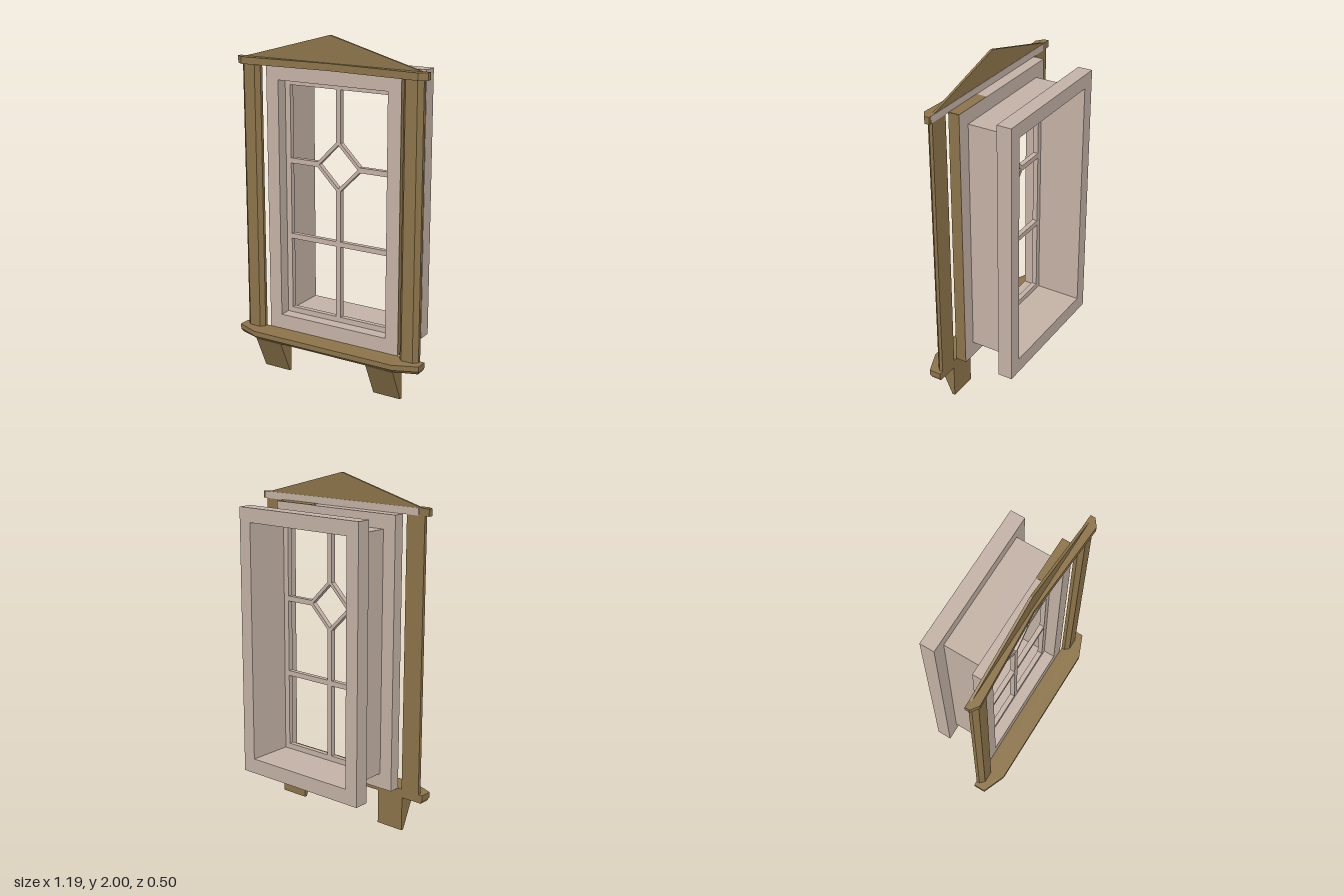
import * as THREE from 'three';

export function createModel() {
  const model = new THREE.Group();
  model.name = 'window';
  const cream = new THREE.MeshStandardMaterial({ color: 0xc4b2a6 });
  cream.name = 'pale frame';
  const creamOpen = new THREE.MeshStandardMaterial({ color: 0xc4b2a6, side: THREE.DoubleSide });
  creamOpen.name = 'pale lining';
  const wood = new THREE.MeshStandardMaterial({ color: 0x8c744a });
  wood.name = 'brown wood';

  const add = (name, geometry, material) => {
    const mesh = new THREE.Mesh(geometry, material);
    mesh.name = name;
    model.add(mesh);
    return mesh;
  };
  const toPath = (pts, C = THREE.Shape) => new C(pts.map(([x, y]) => new THREE.Vector2(x, y)));
  const rect = (x0, x1, y0, y1) => [[x0, y0], [x1, y0], [x1, y1], [x0, y1]];
  // Front outline with holes, extruded from z0 to z1
  const panel = (outline, holes, z0, z1) => {
    const shape = toPath(outline);
    shape.holes = holes.map((h) => toPath(h, THREE.Path));
    return new THREE.ExtrudeGeometry(shape, { depth: z1 - z0, bevelEnabled: false }).translate(0, 0, z0);
  };
  // Plan outline of [x, z] points, raised from y0 to y1
  const slab = (plan, y0, y1) =>
    new THREE.ExtrudeGeometry(toPath(plan.map(([x, z]) => [x, -z])), { depth: y1 - y0, bevelEnabled: false })
      .rotateX(-Math.PI / 2).translate(0, y0, 0);
  const box = (x0, x1, y0, y1, z0, z1) =>
    new THREE.BoxGeometry(x1 - x0, y1 - y0, z1 - z0)
      .translate((x0 + x1) / 2, (y0 + y1) / 2, (z0 + z1) / 2);

  // Front and back frames joined by a thin lining
  const W = 0.427, w = 0.348, B = 0.25, T = 1.81, b = 0.338, t = 1.728;
  const opening = rect(-w, w, b, t);
  add('frontFrame', panel(rect(-W, W, B, T), [opening], 0.055, 0.12), cream);
  add('backFrame', panel(rect(-W, W, B, T), [opening], -0.25, -0.165), cream);
  const sleeve = [[0, b, 2 * w, 0], [0, t, 2 * w, 0], [-w, (b + t) / 2, 0, t - b], [w, (b + t) / 2, 0, t - b]];
  for (const [x, y, sx, sy] of sleeve) {
    const g = new THREE.PlaneGeometry(sx || 0.22, sy || 0.22);
    if (sx) g.rotateX(-Math.PI / 2);
    else g.rotateY(Math.PI / 2);
    add('lining', g.translate(x, y, -0.055), creamOpen);
  }

  // Brown facing around one edge of the front frame
  add('frameSideFacing', box(W, W + 0.002, B, T, 0.055, 0.12), wood);
  add('frameTopFacing', box(0.17, W, T, T + 0.002, 0.055, 0.12), wood);
  add('frameBottomFacing', box(0.17, W, B - 0.002, B, 0.055, 0.12), wood);

  // Sash with glazing bars around a diamond pane
  const m = 0.015, cy = 1.26, R = 0.152, r = 0.125, iw = 0.315, ib = 0.37, it = 1.695, rail = 0.81;
  const panes = [[[0, cy - r], [r, cy], [0, cy + r], [-r, cy]]];
  for (const s of [-1, 1]) {
    panes.push(rect(s * m, s * iw, ib, rail - m));
    for (const [u, yEnd] of [[1, it], [-1, rail + m]]) {
      panes.push([
        [s * m, cy + u * (R - m)], [s * m, yEnd], [s * iw, yEnd],
        [s * iw, cy + u * m], [s * (R - m), cy + u * m],
      ]);
    }
  }
  add('sash', panel(opening, panes, 0.02, 0.05), cream);

  // Half-octagon columns
  for (const s of [-1, 1]) {
    const plan = [[0.57, 0.12], [0.57, 0.14], [0.545, 0.165], [0.475, 0.165], [0.453, 0.14], [0.453, 0.12]];
    add(s > 0 ? 'leftColumn' : 'rightColumn', slab(plan.map(([x, z]) => [s * x, z]), B, T), wood);
  }

  // Cornice with a slightly hollow front, and the pediment above
  add('cornice', slab([[-0.597, 0.12], [-0.597, 0.148], [-0.553, 0.18], [0, 0.147],
    [0.553, 0.18], [0.597, 0.148], [0.597, 0.12]], T, 1.85), wood);
  add('corniceBacking', box(-0.53, 0.58, T, 1.85, 0.118, 0.12), cream);
  add('pediment', panel([[-0.555, 1.85], [0.555, 1.85], [0, 2]], [], 0.12, 0.134), wood);

  // Sill with a tapered underside
  const sillPlan = [[-0.597, 0.12], [-0.597, 0.19], [-0.46, 0.246], [0.46, 0.246], [0.597, 0.19], [0.597, 0.12]];
  add('sill', slab(sillPlan, 0.22, B), wood);
  const under = slab(sillPlan, 0.2, 0.22);
  const p = under.attributes.position;
  for (let i = 0; i < p.count; i++) {
    if (p.getY(i) < 0.21) {
      p.setX(i, p.getX(i) * 0.985);
      p.setZ(i, 0.12 + (p.getZ(i) - 0.12) * 0.83);
    }
  }
  under.computeVertexNormals();
  add('sillUnderside', under, wood);

  // Wedge brackets under the sill
  for (const s of [-1, 1]) {
    const wedge = panel([[-0.12, 0], [-0.12, 0.2], [-0.228, 0.2], [-0.136, 0]], [], -0.086, 0.086);
    add(s > 0 ? 'leftBracket' : 'rightBracket', wedge.rotateY(Math.PI / 2).translate(s * 0.371, 0, 0), wood);
  }
  return model;
}
